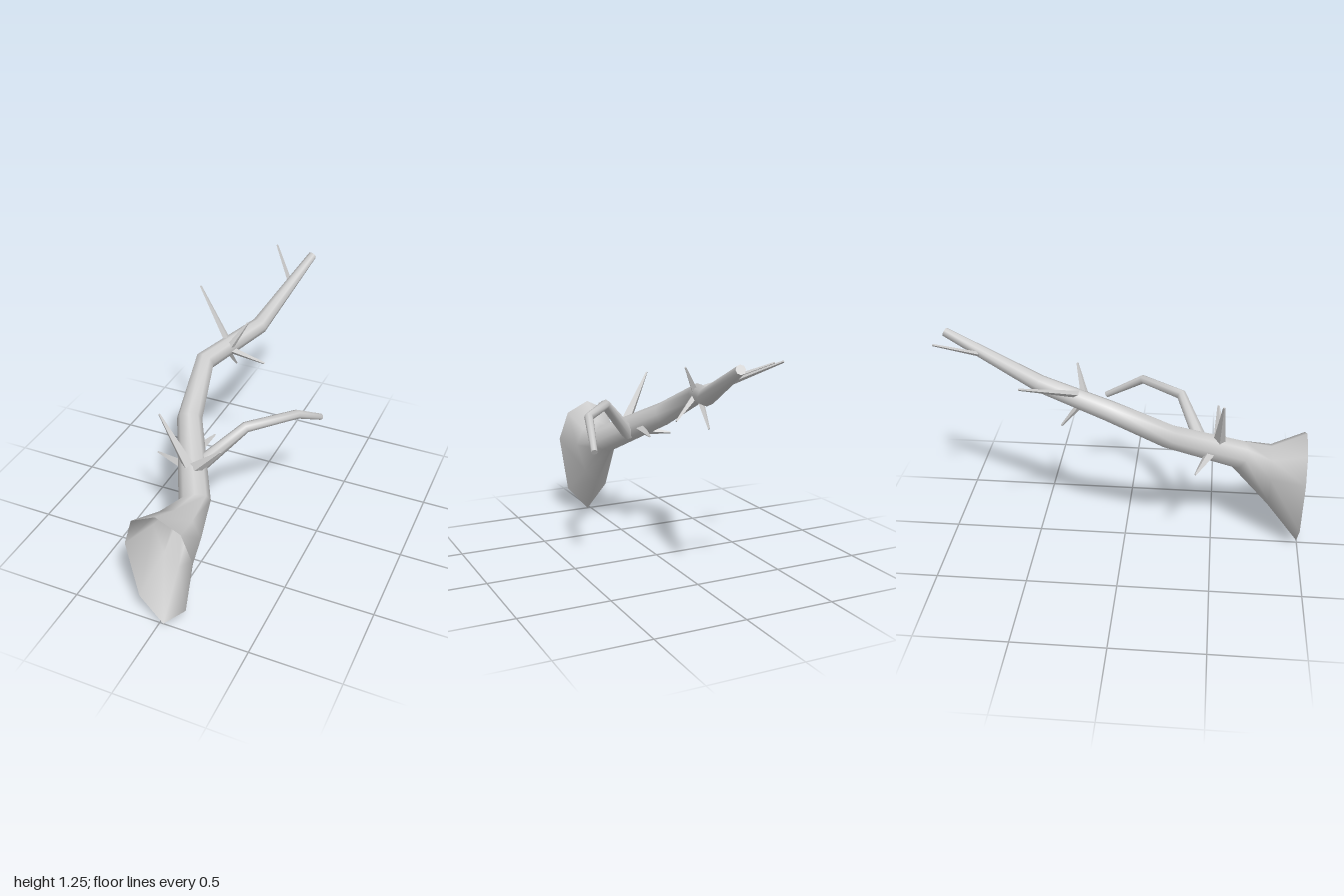
import * as THREE from 'three';

const V = (p) => new THREE.Vector3(...p);

// Ring of points round a centre, starting at the bottom, square to the direction
function ring(centre, dir, radius, sides) {
  const side = new THREE.Vector3().crossVectors(dir, V([0, 1, 0])).normalize();
  const up = new THREE.Vector3().crossVectors(side, dir).normalize();
  return Array.from({ length: sides }, (_, k) => {
    const a = (k / sides) * Math.PI * 2;
    return centre.clone()
      .addScaledVector(side, Math.sin(a) * radius)
      .addScaledVector(up, -Math.cos(a) * radius);
  });
}

// Rings along a bent path; each stop is [x, y, z, radius]
function pathRings(stops, sides) {
  const pts = stops.map((s) => V(s.slice(0, 3)));
  return stops.map((s, i) => {
    const dir = new THREE.Vector3();
    if (i > 0) dir.add(pts[i].clone().sub(pts[i - 1]).normalize());
    if (i < pts.length - 1) dir.add(pts[i + 1].clone().sub(pts[i]).normalize());
    return ring(pts[i], dir.normalize(), s[3], sides);
  });
}

// Skin over the rings, with a flat cap on the last one
function loft(rings) {
  const n = rings[0].length;
  const pos = [];
  const index = [];
  rings.forEach((r) => r.forEach((p) => pos.push(p.x, p.y, p.z)));
  for (let i = 0; i < rings.length - 1; i++) {
    for (let k = 0; k < n; k++) {
      const a = i * n + k, b = i * n + (k + 1) % n;
      index.push(a, a + n, b, b, a + n, b + n);
    }
  }
  const cap = pos.length / 3;
  rings[rings.length - 1].forEach((p) => pos.push(p.x, p.y, p.z));
  for (let k = 1; k < n - 1; k++) index.push(cap, cap + k + 1, cap + k);
  const geo = new THREE.BufferGeometry();
  geo.setAttribute('position', new THREE.Float32BufferAttribute(pos, 3));
  geo.setIndex(index);
  geo.computeVertexNormals();
  return geo;
}

export function createModel() {
  const group = new THREE.Group();
  const bark = new THREE.MeshStandardMaterial({ color: 0xcccccc, side: THREE.DoubleSide });
  const thornMat = new THREE.MeshStandardMaterial({ color: 0xcccccc, flatShading: true, side: THREE.DoubleSide });
  const add = (name, rings, mat, parent = group) => {
    const mesh = new THREE.Mesh(loft(rings), mat);
    mesh.name = name;
    parent.add(mesh);
  };

  // Trunk: an open, flared foot narrowing into a bent stem
  const mouth = [[0.02, 0], [0.155, 0.15], [0.205, 0.49], [0.145, 0.655],
    [0.01, 0.72], [-0.125, 0.65], [-0.17, 0.49], [-0.11, 0.15]].map(([x, y]) => V([x, y, 1]));
  const throat = [[0.025, 0.24], [0.105, 0.31], [0.16, 0.485], [0.115, 0.585],
    [0.02, 0.625], [-0.07, 0.585], [-0.11, 0.485], [-0.055, 0.31]].map(([x, y]) => V([x, y, 0.815]));
  const stem = pathRings([
    [0.04, 0.553, 0.635, 0.083],
    [-0.17, 0.765, 0.25, 0.068],
    [-0.225, 0.935, -0.065, 0.057],
    [-0.062, 0.995, -0.455, 0.048],
    [0.055, 1.225, -0.985, 0.025],
  ], 8);
  add('trunk', [mouth, throat, ...stem], bark);

  // Side branch
  add('sideBranch', pathRings([
    [-0.03, 0.62, 0.44, 0.042],
    [0.18, 0.84, 0.3, 0.029],
    [0.375, 0.83, 0.07, 0.025],
    [0.435, 0.69, -0.15, 0.018],
  ], 8), bark);

  // Thorns: base, tip, base radius
  const thorns = new THREE.Group();
  thorns.name = 'thorns';
  group.add(thorns);
  [
    [[-0.04, 0.66, 0.52], [-0.195, 0.965, 0.535], 0.036],
    [[-0.01, 0.67, 0.525], [0.13, 0.807, 0.51], 0.036],
    [[-0.08, 0.63, 0.48], [-0.29, 0.607, 0.4], 0.032],
    [[-0.07, 0.67, 0.37], [-0.05, 0.652, 0.19], 0.033],
    [[-0.16, 0.99, -0.23], [-0.447, 1.15, -0.49], 0.02],
    [[-0.13, 0.98, -0.205], [-0.047, 1.12, -0.25], 0.022],
    [[-0.14, 0.96, -0.2], [0.033, 0.848, -0.305], 0.022],
    [[-0.155, 0.96, -0.2], [-0.15, 0.793, -0.33], 0.022],
    [[-0.01, 1.13, -0.79], [-0.172, 1.248, -0.99], 0.013],
  ].forEach(([base, tip, r]) =>
    add('thorn', pathRings([[...base, r], [...tip, 0.006]], 4), thornMat, thorns));

  return group;
}
